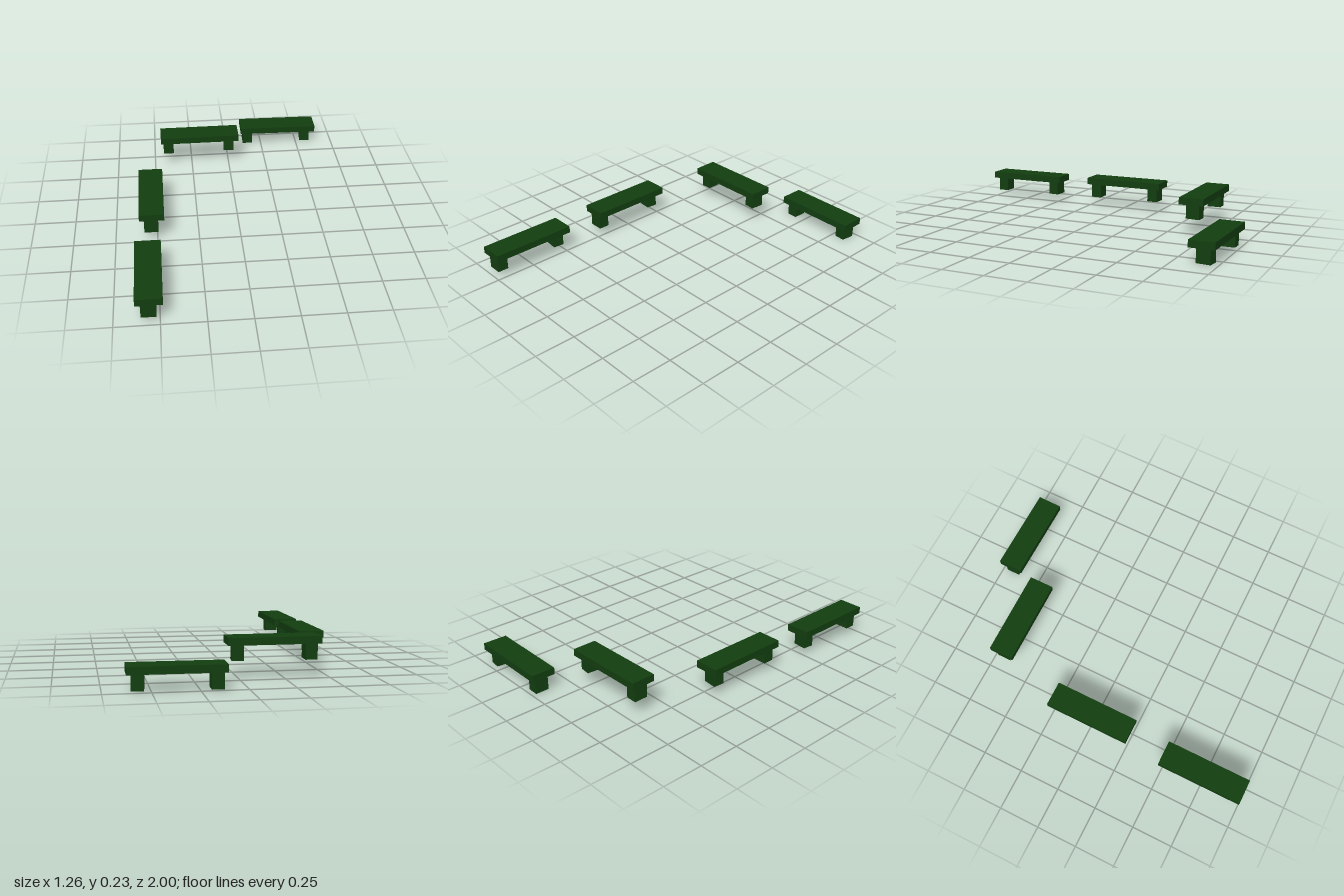
import * as THREE from 'three';

const material = new THREE.MeshStandardMaterial({ color: 0x123d10, flatShading: true });

const SEAT = { length: 0.52, height: 0.042, width: 0.149 };
const LEG = { length: 0.067, width: 0.084 };

function box(name, w, h, d, x, y, z) {
  const mesh = new THREE.Mesh(new THREE.BoxGeometry(w, h, d), material);
  mesh.name = name;
  mesh.position.set(x, y, z);
  return mesh;
}

// Seat slab on two block legs; local y = 0 is the top of the seat
function createBench(name) {
  const bench = new THREE.Group();
  bench.name = name;
  bench.add(box('seat', SEAT.length, SEAT.height, SEAT.width, 0, -SEAT.height / 2, 0));

  // The second leg is a touch shorter and slightly twisted
  const legs = [
    { name: 'firstLeg', x: -0.21, height: 0.092, twist: 0 },
    { name: 'secondLeg', x: 0.199, height: 0.088, twist: -0.1 },
  ];
  for (const { name: legName, x, height, twist } of legs) {
    const leg = box(legName, LEG.length, height, LEG.width, x, -SEAT.height - height / 2, -0.005);
    leg.rotation.y = twist;
    bench.add(leg);
  }
  return bench;
}

export function createModel() {
  const model = new THREE.Group();
  model.name = 'benches';

  // Two benches along the side, two along the back, at differing heights
  const placements = [
    { name: 'sideFrontBench', at: [-0.555, 0.176, 0.74], turn: Math.PI / 2 },
    { name: 'sideBackBench', at: [-0.53, 0.193, -0.007], turn: Math.PI / 2 },
    { name: 'backCentreBench', at: [-0.196, 0.23, -0.663], turn: 0.006 },
    { name: 'backLeftBench', at: [0.367, 0.135, -0.923], turn: -0.013 },
  ];
  for (const { name, at, turn } of placements) {
    const bench = createBench(name);
    bench.position.set(...at);
    bench.rotation.y = turn;
    model.add(bench);
  }
  return model;
}
